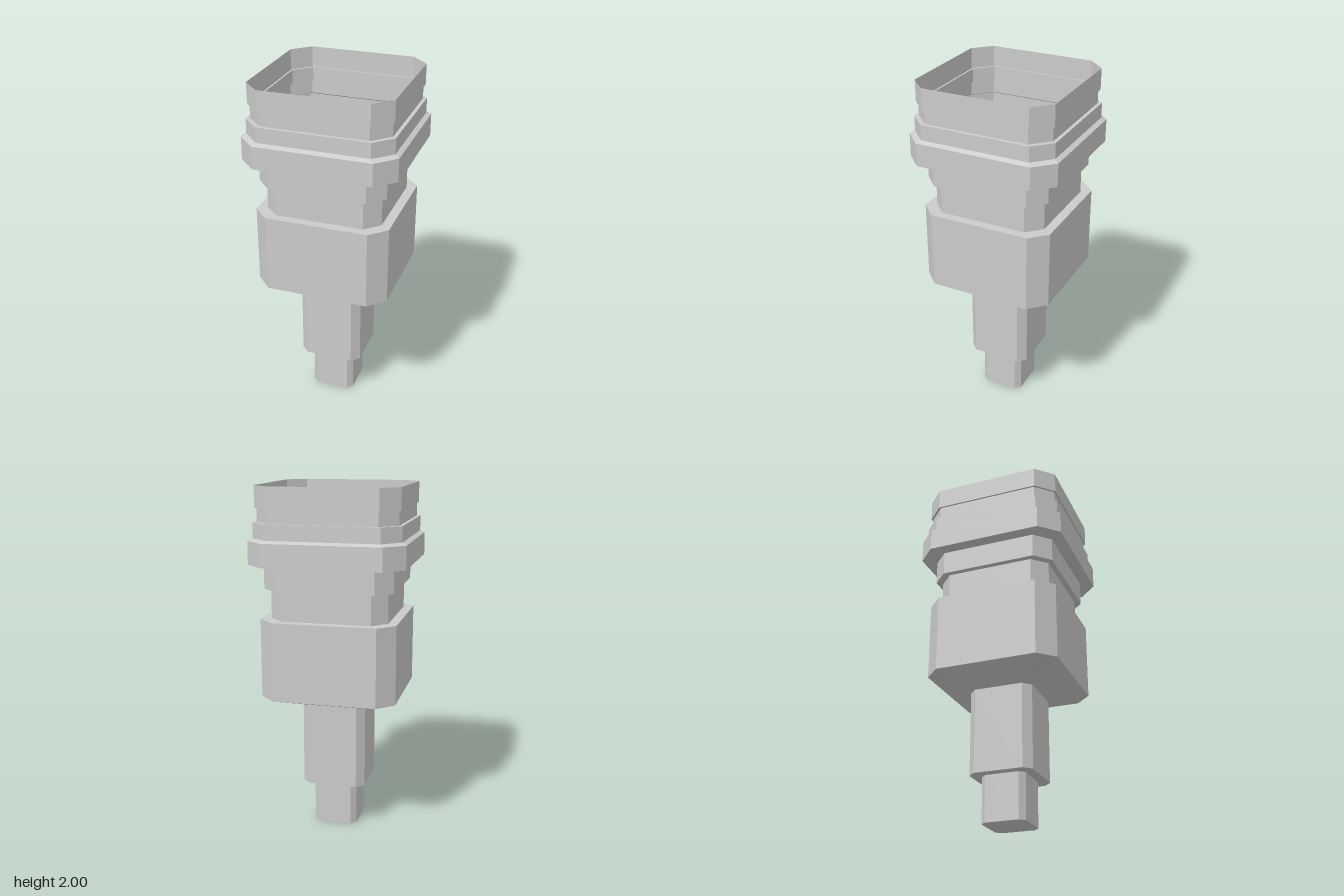
import * as THREE from 'three';

const material = new THREE.MeshStandardMaterial({
  color: 0xcccccc, flatShading: true, side: THREE.DoubleSide,
});

// Square with cut corners: a = half width, b = half length of each straight side
function ring([a, b, y]) {
  return [[a, -b], [a, b], [b, a], [-b, a], [-a, b], [-a, -b], [-b, -a], [b, -a]]
    .map(([x, z]) => [x, y, z]);
}

// Thin open skin through a list of sections, from bottom to top
function loft(name, sections, closeBottom = false) {
  const rings = sections.map(ring);
  const points = [];
  for (let s = 0; s < rings.length - 1; s++) {
    const low = rings[s], up = rings[s + 1];
    for (let i = 0; i < 8; i++) {
      const j = (i + 1) % 8;
      points.push(low[i], up[i], up[j], low[i], up[j], low[j]);
    }
  }
  if (closeBottom) {
    const base = rings[0];
    for (let i = 1; i < 7; i++) points.push(base[0], base[i], base[i + 1]);
  }
  const geometry = new THREE.BufferGeometry();
  geometry.setAttribute('position', new THREE.Float32BufferAttribute(points.flat(), 3));
  geometry.computeVertexNormals();
  const mesh = new THREE.Mesh(geometry, material);
  mesh.name = name;
  return mesh;
}

export function createModel() {
  const group = new THREE.Group();
  group.name = 'steppedHollowSocket';

  // Each part ends with the ledge that leads to the next one
  group.add(
    loft('tip', [[0.127, 0.097, 0], [0.127, 0.097, 0.262], [0.184, 0.14, 0.262]], true),
    loft('stem', [[0.184, 0.14, 0.262], [0.184, 0.14, 0.748]]),
    loft('taper', [[0.184, 0.14, 0.748], [0.385, 0.292, 0.817]]),
    loft('body', [[0.385, 0.292, 0.817], [0.385, 0.292, 1.265], [0.332, 0.251, 1.265]]),
    loft('neck', [[0.332, 0.251, 1.265], [0.332, 0.251, 1.435], [0.364, 0.276, 1.435]]),
    loft('upperNeck', [[0.364, 0.276, 1.435], [0.364, 0.276, 1.573], [0.437, 0.331, 1.573]]),
    loft('collar', [[0.437, 0.331, 1.573], [0.437, 0.331, 1.703], [0.412, 0.313, 1.716]]),
    loft('collarStep', [[0.412, 0.313, 1.716], [0.412, 0.313, 1.802], [0.392, 0.298, 1.802]]),
    loft('groove', [[0.392, 0.298, 1.802], [0.392, 0.298, 1.88], [0.402, 0.305, 1.88]]),
    loft('rim', [[0.402, 0.305, 1.88], [0.402, 0.305, 2]]),
  );
  return group;
}
